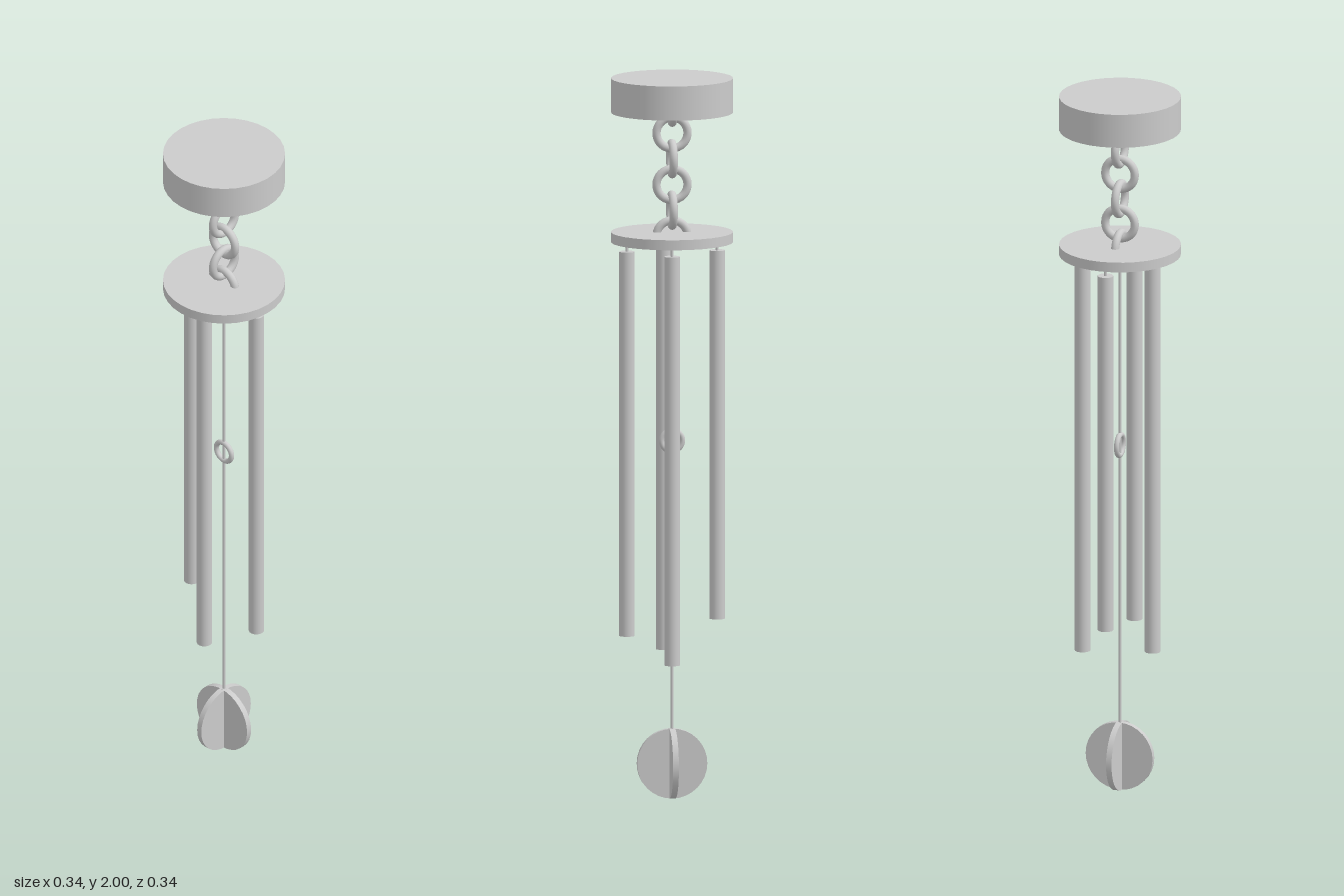
import * as THREE from 'three';

const material = new THREE.MeshStandardMaterial({ color: 0xcccccc });

export function createModel() {
  const model = new THREE.Group();
  model.name = 'windChime';

  const add = (name, geometry, x = 0, y = 0, z = 0) => {
    const mesh = new THREE.Mesh(geometry, material);
    mesh.name = name;
    mesh.position.set(x, y, z);
    model.add(mesh);
    return mesh;
  };

  // Upright cylinder between two heights
  const column = (name, radius, bottom, top, x = 0, z = 0, sides = 32) =>
    add(name, new THREE.CylinderGeometry(radius, radius, top - bottom, sides), x, (top + bottom) / 2, z);

  // Ceiling mount and the plate that carries the tubes
  column('ceilingMount', 0.168, 1.905, 2);
  column('tubePlate', 0.168, 1.545, 1.573);

  // Chain: links alternate between facing the side and facing the front;
  // the last one is a half link set into the plate
  const links = 6;
  for (let i = 0; i < links; i++) {
    const arc = i === links - 1 ? Math.PI : Math.PI * 2;
    const link = add('chainLink', new THREE.TorusGeometry(0.043, 0.0115, 12, 32, arc), 0, 1.919 - i * 0.0715, 0);
    if (i % 2 === 0) link.rotation.y = Math.PI / 2;
  }

  // Chime tubes of differing length, each on a short cord
  const tubes = [
    { x: 0.125, z: 0, bottom: 0.453 },
    { x: 0.013, z: 0.09, bottom: 0.402 },
    { x: -0.125, z: 0, bottom: 0.497 },
    { x: 0.013, z: -0.113, bottom: 0.385 },
  ];
  for (const { x, z, bottom } of tubes) {
    column('chimeTube', 0.0215, bottom, 1.52, x, z, 24);
    column('tubeCord', 0.004, 1.515, 1.55, x, z, 8);
  }

  // Centre cord with the striker ring
  column('centreCord', 0.004, 0.18, 1.55, 0, 0, 8);
  add('strikerRing', new THREE.TorusGeometry(0.029, 0.0075, 12, 32), 0, 0.993, 0);

  // Wind catcher: two crossed discs
  const disc = new THREE.CylinderGeometry(0.097, 0.097, 0.016, 32).rotateX(Math.PI / 2);
  for (const turn of [0, Math.PI / 2]) {
    add('windCatcherDisc', disc, 0, 0.097, 0).rotation.y = turn;
  }

  return model;
}
